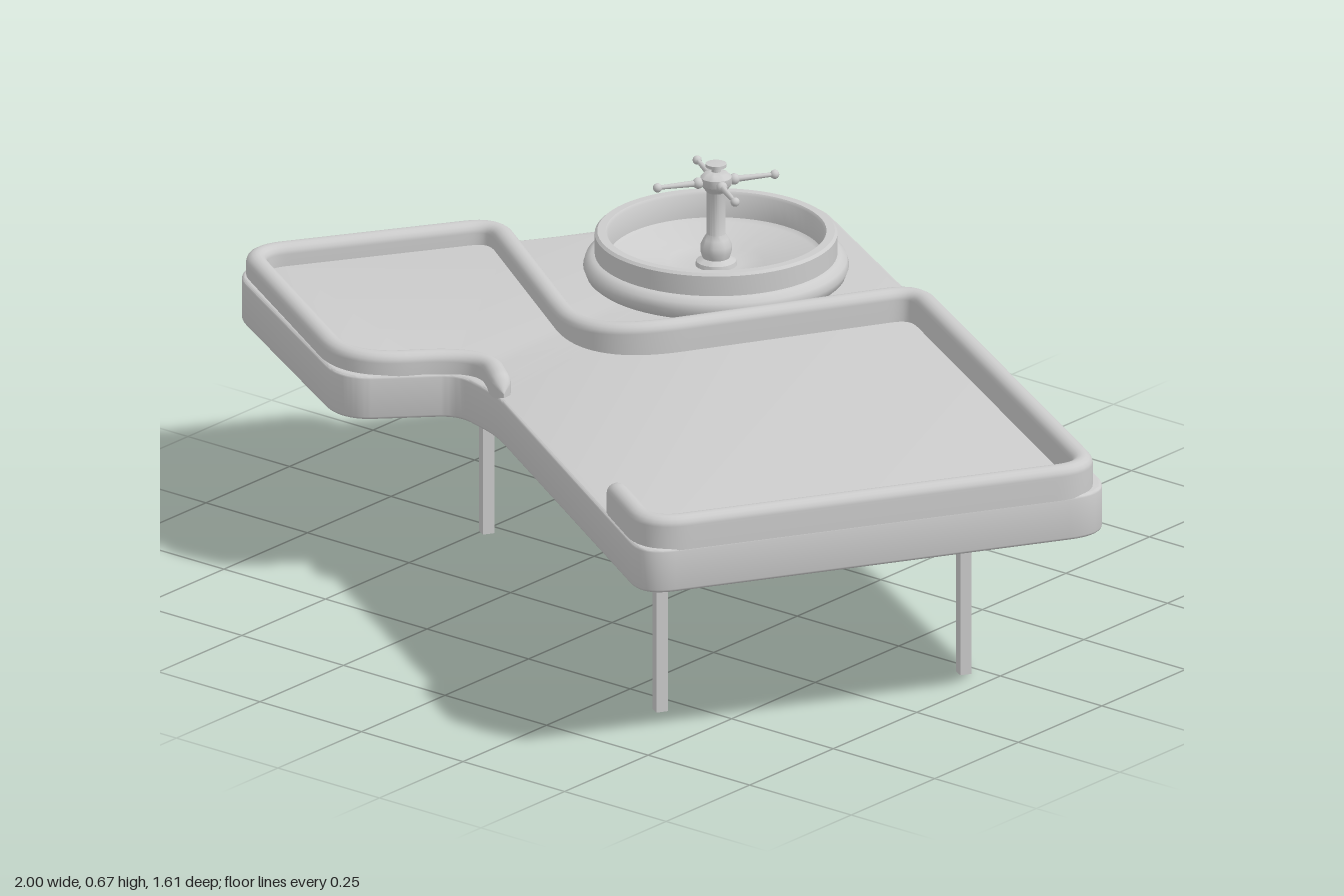
import * as THREE from 'three';
import { toCreasedNormals } from 'three/addons/utils/BufferGeometryUtils.js';

const material = new THREE.MeshStandardMaterial({ color: 0xcccccc });

function add(parent, name, geometry) {
  const mesh = new THREE.Mesh(geometry, material);
  mesh.name = name;
  parent.add(mesh);
  return mesh;
}

// Polyline of [x, z, cornerRadius] with rounded corners, drawn as (x, -z)
function rounded(path, corners, closed) {
  const P = corners.map(([x, z]) => new THREE.Vector2(x, -z));
  const n = P.length;
  P.forEach((p, i) => {
    const end = !closed && (i === 0 || i === n - 1);
    if (end) {
      if (i === 0) path.moveTo(p.x, p.y);
      else path.lineTo(p.x, p.y);
      return;
    }
    const r = corners[i][2];
    const toward = (q) => p.clone().add(q.clone().sub(p).setLength(Math.min(r, q.distanceTo(p) * 0.49)));
    const a = toward(P[(i + n - 1) % n]);
    const b = toward(P[(i + 1) % n]);
    if (i === 0) path.moveTo(a.x, a.y);
    else path.lineTo(a.x, a.y);
    path.quadraticCurveTo(p.x, p.y, b.x, b.y);
  });
  if (closed) path.closePath();
  return path;
}

// Round-topped bar swept along the path, with softened ends and a variable height
function railGeometry(path, half, base, topAt) {
  const steps = 360, arc = 8;
  const pts = path.getSpacedPoints(steps);
  const length = path.getLength();
  const ring = arc + 3;
  const pos = [], idx = [];
  for (let i = 0; i <= steps; i++) {
    const a = pts[Math.max(i - 1, 0)], b = pts[Math.min(i + 1, steps)];
    const t = b.clone().sub(a).normalize();
    const d = (Math.min(i, steps - i) / steps) * length;
    const e = 1 - Math.min(d / 0.04, 1);
    const s = Math.max(Math.sqrt(1 - e * e), 0.02);
    const w = half * s;
    const h = (topAt(i / steps) - base) * (0.25 + 0.75 * s);
    const put = (o, y) => pos.push(pts[i].x - t.y * o, base + y, -(pts[i].y + t.x * o));
    put(w, 0);
    for (let k = 0; k <= arc; k++) {
      const f = (k / arc) * Math.PI;
      put(w * Math.cos(f), h - w * 0.9 * (1 - Math.sin(f)));
    }
    put(-w, 0);
    if (i === steps) break;
    for (let k = 0; k < ring - 1; k++) {
      const p = i * ring + k, q = p + ring;
      idx.push(p, p + 1, q, q, p + 1, q + 1);
    }
  }
  for (let k = 1; k < ring - 1; k++) {
    const z = steps * ring;
    idx.push(0, k + 1, k, z, z + k, z + k + 1);
  }
  const g = new THREE.BufferGeometry();
  g.setAttribute('position', new THREE.Float32BufferAttribute(pos, 3));
  g.setIndex(idx);
  g.computeVertexNormals();
  return g;
}

function lathe(points, segments = 48) {
  const g = new THREE.LatheGeometry(points.map(([r, y]) => new THREE.Vector2(r, y)), segments);
  return toCreasedNormals(g, 0.7);
}

export function createModel() {
  const model = new THREE.Group();
  model.name = 'tableWithBasin';

  // Table top slab
  const outline = rounded(new THREE.Shape(), [
    [-0.385, -0.83, 0.08], [1.03, 0, 0.09], [0.545, 0.825, 0.07], [-0.21, 0.345, 0.05],
    [-0.33, 0.31, 0.04], [-0.465, 0.445, 0.03], [-0.525, 0.45, 0.04], [-1.03, 0.145, 0.1],
    [-0.85, -0.14, 0.08], [-0.7, -0.29, 0.12],
  ], true);
  const bevel = 0.006;
  const slab = new THREE.ExtrudeGeometry(outline, {
    depth: 0.088 - 2 * bevel, bevelSize: bevel, bevelThickness: bevel,
    bevelOffset: -bevel, bevelSegments: 3, curveSegments: 10,
  });
  slab.rotateX(-Math.PI / 2).translate(0, 0.356 + bevel, 0);
  add(model, 'tableTop', toCreasedNormals(slab, 0.6));

  // Raised rim, lower around the narrow end
  const rimPath = rounded(new THREE.Path(), [
    [-0.18, 0.355], [-0.31, 0.25, 0.13], [-0.49, 0.445, 0.11], [-1.0, 0.125, 0.07],
    [-0.73, -0.29, 0.06], [-0.18, 0.095, 0.18], [0.145, -0.485, 0.06],
    [0.995, 0.025, 0.07], [0.54, 0.795, 0.07], [0.345, 0.67],
  ], false);
  const topAt = (u) => 0.486 + 0.02 * THREE.MathUtils.smoothstep(u, 0.39, 0.46);
  add(model, 'rim', railGeometry(rimPath, 0.02, 0.44, topAt));

  // Square legs on a rectangle turned with the table
  for (const [x, z] of [[-0.175, -0.49], [0.685, 0.03], [-0.49, 0.03], [0.365, 0.55]]) {
    const leg = add(model, 'leg', new THREE.BoxGeometry(0.023, 0.37, 0.023));
    leg.position.set(x, 0.185, z);
    leg.rotation.y = -Math.PI / 6;
  }

  // Round basin with a flange
  const sink = new THREE.Group();
  sink.name = 'basin';
  sink.position.set(-0.283, 0, -0.405);
  model.add(sink);
  add(sink, 'bowl', lathe([
    [0.235, 0.44], [0.247, 0.45], [0.253, 0.466], [0.249, 0.48], [0.238, 0.488], [0.231, 0.49],
    [0.231, 0.53], [0.226, 0.535], [0.21, 0.535], [0.206, 0.53], [0.204, 0.484], [0.196, 0.478],
    [0.1, 0.475], [0.092, 0.47], [0.05, 0.467], [0, 0.466],
  ], 64));

  // Tap column with hub and top button
  add(sink, 'tapColumn', lathe([
    [0.04, 0.466], [0.038, 0.475], [0.026, 0.482], [0.03, 0.495], [0.03, 0.507], [0.024, 0.52],
    [0.018, 0.53], [0.018, 0.615], [0.022, 0.62], [0.03, 0.63], [0.03, 0.645], [0.022, 0.653],
    [0.009, 0.656], [0.009, 0.664], [0.02, 0.666], [0.02, 0.672], [0, 0.674],
  ], 24));

  // Four tap arms with knobs
  for (let i = 0; i < 4; i++) {
    const arm = new THREE.Group();
    arm.name = 'tapArm';
    arm.position.y = 0.636;
    arm.rotation.y = -0.57 - (i * Math.PI) / 2;
    add(arm, 'rod', new THREE.CylinderGeometry(0.004, 0.007, 0.095, 10).rotateZ(-Math.PI / 2)).position.x = 0.0675;
    add(arm, 'collar', new THREE.SphereGeometry(0.011, 12, 8)).position.x = 0.036;
    add(arm, 'knob', new THREE.SphereGeometry(0.009, 12, 8)).position.x = 0.117;
    sink.add(arm);
  }
  return model;
}
